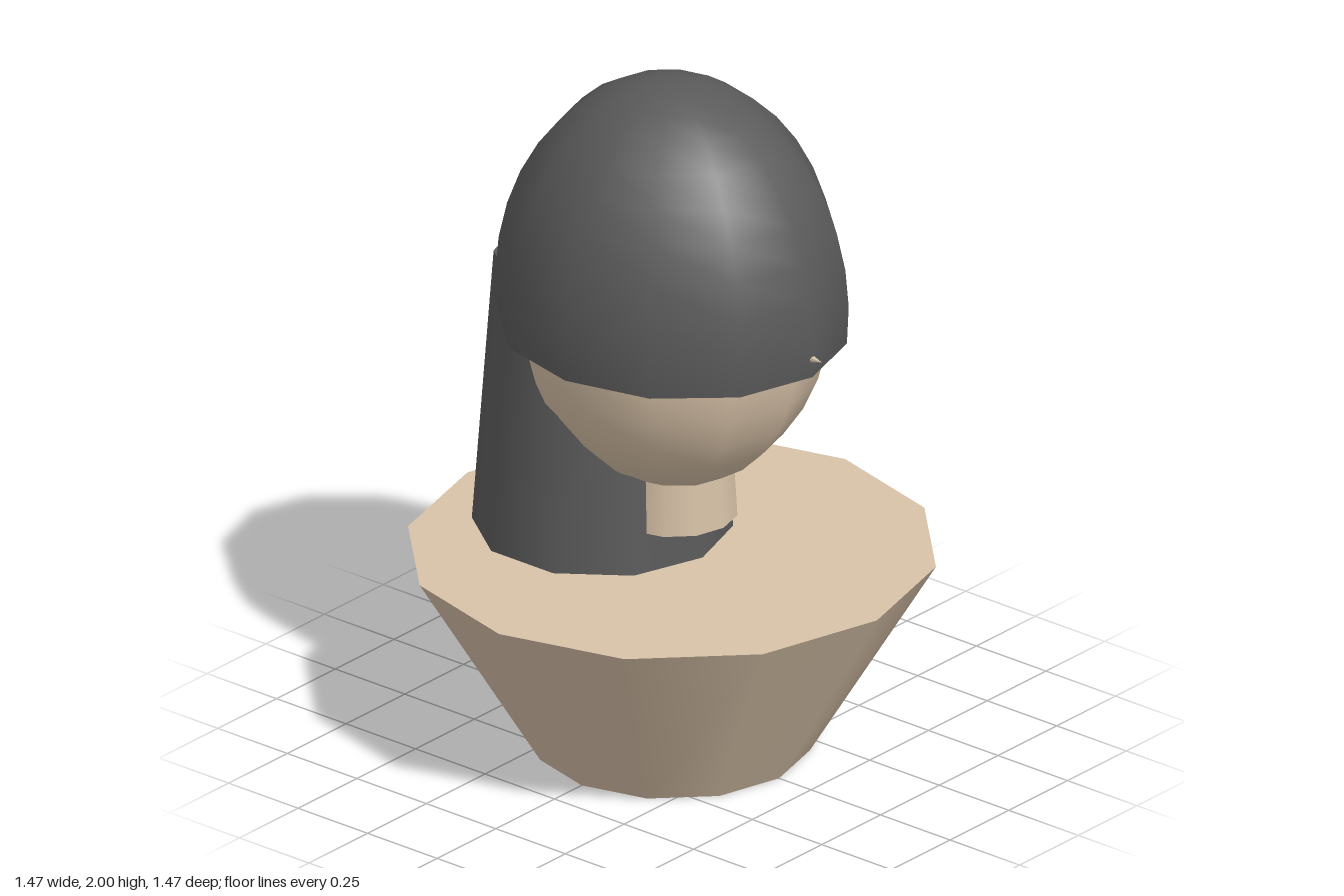
import * as THREE from 'three';

const skin = new THREE.MeshStandardMaterial({ color: 0xd8c2a8 });
skin.name = 'tan';
const dark = new THREE.MeshStandardMaterial({ color: 0x5a5a5a, side: THREE.DoubleSide });
dark.name = 'darkGrey';

export function createModel() {
  const group = new THREE.Group();
  const add = (name, geometry, material, x, y, z) => {
    const mesh = new THREE.Mesh(geometry, material);
    mesh.name = name;
    mesh.position.set(x, y, z);
    group.add(mesh);
    return mesh;
  };
  // Tapered column standing between two heights
  const column = (name, rTop, rBottom, y0, y1, sides, material, z) =>
    add(name, new THREE.CylinderGeometry(rTop, rBottom, y1 - y0, sides), material, 0, (y0 + y1) / 2, z);

  // Flared shoulders, neck, and the hair hanging behind the head
  column('shoulders', 0.737, 0.385, 0, 0.587, 12, skin, 0);
  column('neck', 0.163, 0.175, 0.70, 0.90, 12, skin, 0.01);
  column('backHair', 0.30, 0.36, 0.587, 1.40, 10, dark, -0.25);

  // Egg-shaped head
  const head = new THREE.SphereGeometry(1, 12, 16);
  head.scale(0.414, 0.54, 0.455);
  add('head', head, skin, 0, 1.345, 0);

  // Domed cap, cut just below its widest ring
  const cap = new THREE.SphereGeometry(1, 12, 10, 0, Math.PI * 2, 0, Math.acos(-0.095 / 0.65));
  cap.scale(0.46, 0.65, 0.51);
  add('cap', cap, dark, 0, 1.35, 0);

  // Pointed nose, its tip just clear of the cap
  const nose = new THREE.ConeGeometry(0.04, 0.14, 8);
  nose.rotateX(Math.PI / 2);
  add('nose', nose, skin, 0, 1.31, 0.47);

  return group;
}
